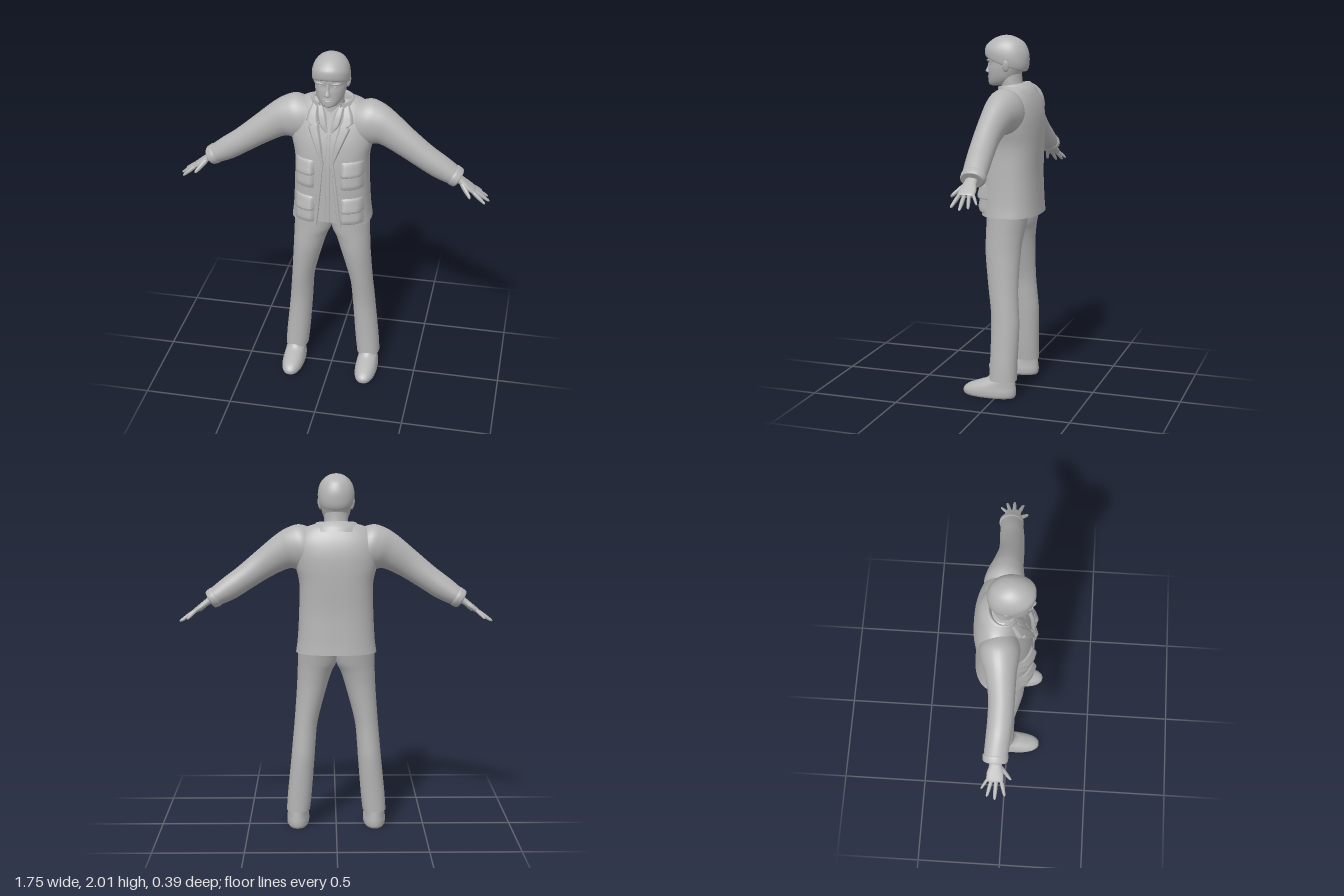
import * as THREE from 'three';

const cloth = new THREE.MeshStandardMaterial({ color: 0xb4b4b4, side: THREE.DoubleSide });
cloth.name = 'plain grey';

// A section row: [ax, ay, bx, by, z0, z1, roundness, front gap half-width]
const level = (y, xc, rx, z0, z1, e = 2, w = 0) => [xc - rx, y, xc + rx, y, z0, z1, e, w];

// Smooth in-between rows
function densify(rows, sub) {
  const out = [], at = i => rows[Math.min(Math.max(i, 0), rows.length - 1)];
  for (let i = 0; i < rows.length - 1; i++) for (let s = 0; s < sub; s++) {
    const t = s / sub;
    out.push(rows[i].map((p1, k) => {
      const p0 = at(i - 1)[k], p2 = at(i + 1)[k], p3 = at(i + 2)[k];
      return p1 + 0.5 * t * (p2 - p0 + t * (2 * p0 - 5 * p1 + 4 * p2 - p3 + t * (3 * (p1 - p2) + p3 - p0)));
    }));
  }
  out.push(rows[rows.length - 1]);
  return out;
}

function makeGeometry(pos, idx) {
  const g = new THREE.BufferGeometry();
  g.setAttribute('position', new THREE.Float32BufferAttribute(pos, 3));
  g.setIndex(idx);
  g.computeVertexNormals();
  return g;
}

// Skin through section rows; rows with a gap leave the front open
function loft(rows, { seg = 32, sub = 5, tilt = 0 } = {}) {
  const d = densify(rows, sub), pos = [], idx = [];
  const open = rows.some(r => r[7] > 0), n = open ? seg + 1 : seg;
  for (const [ax, ay, bx, by, z0, z1, e, w] of d) {
    const ux = (bx - ax) / 2, uy = (by - ay) / 2, h = (z1 - z0) / 2;
    const gap = open ? Math.asin(Math.min(1, Math.max(0, w) / Math.abs(ux)) ** (e / 2)) : 0;
    for (let j = 0; j < n; j++) {
      const a = Math.PI / 2 + gap + (j / seg) * (2 * Math.PI - 2 * gap);
      const c = Math.sign(Math.cos(a)) * Math.abs(Math.cos(a)) ** (2 / e);
      const s = Math.sign(Math.sin(a)) * Math.abs(Math.sin(a)) ** (2 / e);
      const z = (z0 + z1) / 2 + h * s;
      pos.push((ax + bx) / 2 + ux * c, (ay + by) / 2 + uy * c + tilt * z, z);
    }
  }
  for (let i = 0; i < d.length - 1; i++) for (let j = 0; j < seg; j++) {
    const a = i * n + j, b = i * n + (j + 1) % n;
    idx.push(a, a + n, b, b, a + n, b + n);
  }
  if (!open) for (const [row, flip] of [[0, false], [d.length - 1, true]]) {
    const base = pos.length / 3, mid = [0, 0, 0];
    for (let j = 0; j < n; j++) for (let k = 0; k < 3; k++) {
      const v = pos[(row * n + j) * 3 + k];
      pos.push(v);
      mid[k] += v / n;
    }
    pos.push(...mid);
    for (let j = 0; j < n; j++) {
      const a = base + j, b = base + (j + 1) % n;
      idx.push(...(flip ? [b, a, base + n] : [a, b, base + n]));
    }
  }
  return makeGeometry(pos, idx);
}

function mirror(g) {
  const m = g.clone().scale(-1, 1, 1), ix = m.index.array;
  for (let i = 0; i < ix.length; i += 3) [ix[i], ix[i + 1]] = [ix[i + 1], ix[i]];
  m.computeVertexNormals();
  return m;
}

const jacketRows = [
  level(1.02, 0, 0.225, -0.19, 0.135, 2.6, 0.06), level(1.1, 0, 0.215, -0.185, 0.135, 2.6, 0.05),
  level(1.25, 0, 0.207, -0.18, 0.135, 2.6, 0.035), level(1.4, 0, 0.205, -0.185, 0.13, 2.6, 0.022),
  level(1.5, 0, 0.225, -0.187, 0.115, 2.5, 0.035), level(1.58, 0, 0.235, -0.182, 0.09, 2.4, 0.055),
  level(1.65, 0, 0.225, -0.165, 0.06, 2.3, 0.07), level(1.71, 0, 0.175, -0.135, 0.03, 2.2, 0.075),
  level(1.735, 0, 0.11, -0.11, 0.01, 2, 0.07)];
const jacketDense = densify(jacketRows, 8);

// Depth of the jacket front at a point
function frontZ(x, y) {
  let i = 0;
  while (i < jacketDense.length - 2 && jacketDense[i + 1][1] < y) i++;
  const p = jacketDense[i], q = jacketDense[i + 1];
  const t = THREE.MathUtils.clamp((y - p[1]) / (q[1] - p[1]), 0, 1);
  const r = p.map((v, k) => v + (q[k] - v) * t);
  const side = Math.max(0, 1 - Math.abs(x / r[2]) ** r[6]) ** (1 / r[6]);
  return (r[4] + r[5]) / 2 + (r[5] - r[4]) / 2 * side;
}

// Padded patch laid over the jacket front; rows [y, x0, x1, lift], top to bottom
function drape(rows, inset = 0.003) {
  const pos = [], idx = [], nu = 14, d = [];
  rows.forEach((r, i) => {
    const q = rows[i + 1];
    for (let s = 0; s < (q ? 4 : 1); s++) d.push(q ? r.map((v, k) => v + (q[k] - v) * s / 4) : r);
  });
  d.forEach(([y, x0, x1, lift], i) => {
    for (let j = 0; j <= nu; j++) {
      const u = j / nu, x = x0 + (x1 - x0) * u;
      pos.push(x, y, frontZ(x, y) - inset + lift * Math.min(1, 6 * Math.min(u, 1 - u)));
      if (i && j < nu) {
        const a = (i - 1) * (nu + 1) + j, b = a + nu + 1;
        idx.push(a, b, a + 1, a + 1, b, b + 1);
      }
    }
  });
  return makeGeometry(pos, idx);
}

// Tapered finger between two points
function finger(p, q, r) {
  return loft([[0, 0.9], [0.35, 1.05], [0.7, 0.9], [0.93, 0.65], [1, 0.15]].map(([t, k]) => {
    const [x, y, z] = p.map((v, i) => v + (q[i] - v) * t), s = r * k;
    return [x + 0.59 * s, y + 0.81 * s, x - 0.59 * s, y - 0.81 * s, z - s, z + s, 2, 0];
  }), { seg: 10, sub: 3 });
}

const ball = (x, y, z, rx, ry, rz, tiltZ = 0) =>
  new THREE.SphereGeometry(1, 20, 14).scale(rx, ry, rz).rotateZ(tiltZ).translate(x, y, z);

export function createModel() {
  const model = new THREE.Group();
  model.name = 'standingMan';
  const add = (name, g) => {
    const m = new THREE.Mesh(g, cloth);
    m.name = name;
    model.add(m);
  };
  const pair = (name, g) => { add(name + 'Left', g); add(name + 'Right', mirror(g)); };

  // Shirt, jacket shell and collar
  add('shirt', loft([
    level(1.035, 0, 0.205, -0.17, 0.118, 2.6), level(1.25, 0, 0.19, -0.165, 0.118, 2.6),
    level(1.4, 0, 0.19, -0.17, 0.115, 2.6), level(1.5, 0, 0.205, -0.17, 0.1, 2.5),
    level(1.6, 0, 0.205, -0.16, 0.068, 2.3), level(1.67, 0, 0.15, -0.13, 0.045, 2.2),
    level(1.71, 0, 0.08, -0.09, 0.035)], { seg: 48 }));
  add('shirtPlacket', drape([[1.56, -0.012, 0.012, 0.005], [1.3, -0.014, 0.014, 0.005], [1.04, -0.014, 0.014, 0.005]], 0.017));
  add('jacket', loft(jacketRows, { seg: 72, sub: 6 }));
  add('jacketCollar', loft([
    level(1.675, 0, 0.145, -0.158, 0.06, 2, 0.08), level(1.705, 0, 0.132, -0.142, 0.058, 2, 0.07),
    level(1.735, 0, 0.11, -0.112, 0.058, 2, 0.06), level(1.725, 0, 0.098, -0.098, 0.055, 2, 0.055),
    level(1.69, 0, 0.09, -0.09, 0.05, 2, 0.05)], { seg: 40, tilt: -0.15 }));
  pair('lapel', drape([[1.715, 0.07, 0.1, 0.012], [1.66, 0.066, 0.125, 0.018], [1.625, 0.06, 0.132, 0.018],
    [1.61, 0.055, 0.105, 0.018], [1.595, 0.052, 0.118, 0.018], [1.5, 0.033, 0.075, 0.016], [1.4, 0.02, 0.032, 0.008]]));
  pair('shirtCollar', drape([[1.71, 0.04, 0.075, 0.016], [1.66, 0.022, 0.07, 0.016],
    [1.61, 0.012, 0.055, 0.01], [1.57, 0.005, 0.02, 0]], 0.008));
  pair('frontEdge', drape([[1.41, 0.021, 0.036, 0.008], [1.25, 0.034, 0.056, 0.008], [1.1, 0.049, 0.07, 0.008], [1.022, 0.059, 0.08, 0.008]]));

  // Chest and hip pockets with flaps
  for (const [name, top, h] of [['chestPocket', 1.42, 0.17], ['hipPocket', 1.2, 0.165]]) {
    pair(name, drape([[top - 0.05, 0.075, 0.193, 0], [top - 0.07, 0.072, 0.196, 0.014],
      [top - h + 0.03, 0.07, 0.198, 0.024], [top - h + 0.008, 0.072, 0.197, 0.018], [top - h, 0.075, 0.194, 0]]));
    pair(name + 'Flap', drape([[top, 0.075, 0.193, 0], [top - 0.012, 0.072, 0.197, 0.014],
      [top - 0.07, 0.068, 0.2, 0.032], [top - 0.084, 0.068, 0.2, 0.03], [top - 0.088, 0.07, 0.198, 0]]));
  }

  // Sleeves and cuffs
  pair('sleeve', loft([
    [0.11, 1.7, 0.1, 1.48, -0.12, 0.05, 2, 0], [0.2, 1.73, 0.15, 1.47, -0.145, 0.068, 2, 0],
    [0.27, 1.712, 0.2, 1.475, -0.135, 0.065, 2, 0], [0.34, 1.668, 0.26, 1.485, -0.11, 0.057, 2, 0],
    [0.45, 1.575, 0.36, 1.44, -0.085, 0.055, 2, 0], [0.55, 1.49, 0.46, 1.38, -0.083, 0.052, 2, 0],
    [0.63, 1.43, 0.56, 1.318, -0.088, 0.044, 2, 0], [0.7, 1.372, 0.645, 1.282, -0.092, 0.034, 2, 0],
    [0.718, 1.352, 0.67, 1.276, -0.088, 0.03, 2, 0]]));
  pair('cuff', loft([
    [0.69, 1.379, 0.636, 1.286, -0.092, 0.036, 2, 0], [0.7, 1.377, 0.645, 1.277, -0.098, 0.038, 2, 0],
    [0.722, 1.36, 0.668, 1.268, -0.096, 0.036, 2, 0], [0.726, 1.352, 0.678, 1.272, -0.088, 0.03, 2, 0]], { sub: 3 }));

  // Hands
  pair('palm', loft([
    [0.69, 1.345, 0.665, 1.305, -0.06, 0.002, 2.2, 0], [0.73, 1.312, 0.71, 1.28, -0.062, 0.008, 2.4, 0],
    [0.76, 1.287, 0.742, 1.26, -0.072, 0.017, 2.5, 0], [0.79, 1.262, 0.775, 1.24, -0.072, 0.018, 2.5, 0],
    [0.797, 1.253, 0.785, 1.237, -0.066, 0.012, 2.5, 0]], { seg: 24 }));
  pair('littleFinger', finger([0.772, 1.26, -0.06], [0.825, 1.21, -0.098], 0.009));
  pair('ringFinger', finger([0.785, 1.25, -0.045], [0.862, 1.195, -0.066], 0.01));
  pair('middleFinger', finger([0.785, 1.25, -0.02], [0.875, 1.187, -0.024], 0.0105));
  pair('indexFinger', finger([0.78, 1.253, 0.006], [0.855, 1.195, 0.028], 0.0105));
  pair('thumb', finger([0.715, 1.295, -0.005], [0.775, 1.235, 0.056], 0.013));

  // Trousers and shoes
  pair('trouserLeg', loft([
    level(0.1, 0.217, 0.066, -0.112, 0.045, 2.2), level(0.2, 0.208, 0.068, -0.113, 0.042, 2.2),
    level(0.4, 0.19, 0.066, -0.118, 0.042), level(0.5, 0.182, 0.065, -0.112, 0.048),
    level(0.62, 0.17, 0.066, -0.105, 0.065), level(0.8, 0.14, 0.083, -0.108, 0.09),
    level(0.9, 0.122, 0.096, -0.118, 0.094), level(0.96, 0.107, 0.109, -0.13, 0.095),
    level(1.06, 0.1, 0.113, -0.15, 0.095)]));
  pair('shoe', loft([
    level(0, 0.22, 0.056, -0.1, 0.185, 2.3), level(0.012, 0.22, 0.063, -0.108, 0.197, 2.3),
    level(0.035, 0.22, 0.064, -0.11, 0.197, 2.3), level(0.06, 0.22, 0.06, -0.108, 0.17, 2.2),
    level(0.085, 0.22, 0.055, -0.105, 0.11, 2.1), level(0.105, 0.219, 0.052, -0.102, 0.06),
    level(0.14, 0.218, 0.05, -0.095, 0.03)]));

  // Neck and head
  add('neck', loft([level(1.62, 0, 0.078, -0.09, 0.05), level(1.7, 0, 0.067, -0.082, 0.042),
    level(1.76, 0, 0.066, -0.072, 0.045), level(1.82, 0, 0.066, -0.07, 0.045)]));
  add('face', loft([
    level(1.728, 0, 0.02, 0.05, 0.105), level(1.734, 0, 0.042, 0, 0.115), level(1.75, 0, 0.06, -0.035, 0.119),
    level(1.78, 0, 0.075, -0.06, 0.118, 2.1), level(1.82, 0, 0.084, -0.08, 0.117, 2.2),
    level(1.85, 0, 0.087, -0.09, 0.114, 2.2), level(1.88, 0, 0.088, -0.095, 0.119, 2.2),
    level(1.92, 0, 0.085, -0.095, 0.11), level(1.96, 0, 0.06, -0.07, 0.07)]));
  add('hair', loft([
    level(1.832, 0, 0.089, -0.088, 0.118, 2.2), level(1.836, 0, 0.097, -0.098, 0.132, 2.2),
    level(1.86, 0, 0.101, -0.108, 0.136, 2.2), level(1.89, 0, 0.101, -0.112, 0.13, 2.2),
    level(1.925, 0, 0.094, -0.112, 0.105, 2.1), level(1.955, 0, 0.08, -0.105, 0.075),
    level(1.982, 0, 0.055, -0.088, 0.035), level(1.995, 0, 0.025, -0.06, 0.0),
    level(1.998, 0, 0.004, -0.032, -0.026)], { tilt: 0.36 }).translate(0, 0.01, 0));
  add('nose', loft([level(1.797, 0, 0.013, 0.1, 0.122), level(1.802, 0, 0.018, 0.095, 0.136),
    level(1.812, 0, 0.015, 0.095, 0.137), level(1.835, 0, 0.01, 0.095, 0.126),
    level(1.868, 0, 0.011, 0.095, 0.119)], { seg: 16 }));
  pair('brow', ball(0.038, 1.867, 0.105, 0.03, 0.006, 0.012, 0.12));
  pair('eye', ball(0.036, 1.85, 0.1, 0.015, 0.006, 0.011));
  add('upperLip', ball(0, 1.778, 0.114, 0.027, 0.004, 0.009));
  add('lowerLip', ball(0, 1.768, 0.113, 0.022, 0.005, 0.009));
  pair('ear', ball(0.091, 1.842, -0.008, 0.011, 0.034, 0.019, -0.15));
  return model;
}
